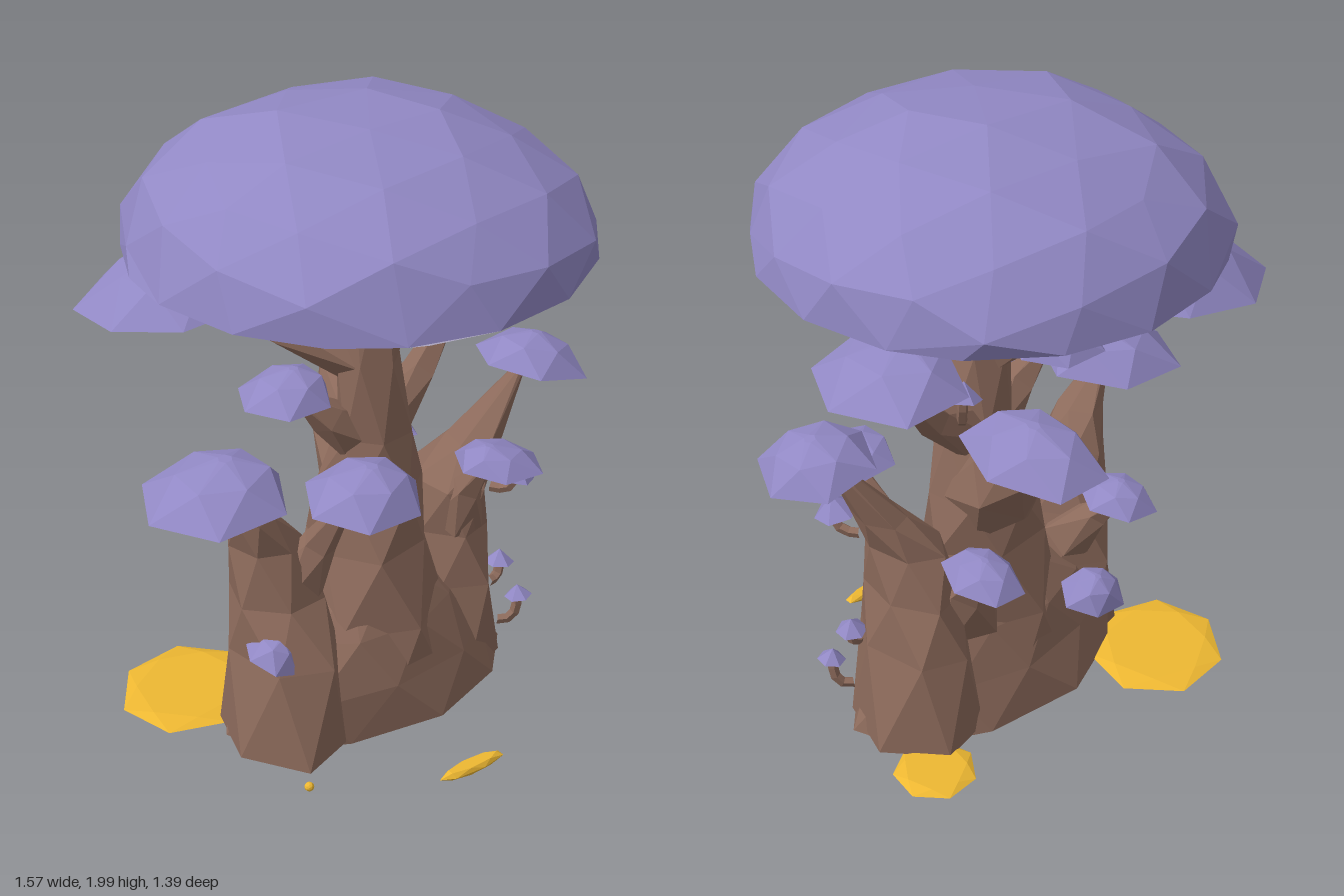
import * as THREE from 'three';

const material = (color) => new THREE.MeshStandardMaterial({ color, flatShading: true });

// Small seeded generator for the rough low-poly surfaces
function seeded(seed) {
  let s = seed * 7919 + 13;
  return () => {
    s = (s * 16807) % 2147483647;
    return s / 2147483647;
  };
}

// Closed loft through rings [x, y, z, rx, rz]; rings lie flat or square to the path.
// The first end face is group 0 and may be hollowed, the rest is group 1.
function loft(rings, { sides = 7, jitter = 0, seed = 1, phase = seed, upright = false, hollow = 0 } = {}) {
  const rand = seeded(seed);
  const centres = rings.map((r) => new THREE.Vector3(r[0], r[1], r[2]));
  const up = new THREE.Vector3(0, 1, 0);
  const last = rings.length - 1;
  const pos = [];
  rings.forEach((r, i) => {
    const dir = centres[Math.min(i + 1, last)].clone().sub(centres[Math.max(i - 1, 0)]).normalize();
    const turn = new THREE.Quaternion();
    if (!upright) turn.setFromUnitVectors(up, dir);
    for (let j = 0; j < sides; j++) {
      const a = ((j + (i % 2) * 0.5) / sides) * Math.PI * 2 + phase;
      const k = 1 + (rand() - 0.5) * 2 * jitter;
      const p = new THREE.Vector3(Math.cos(a) * r[3] * k, 0, Math.sin(a) * (r[4] ?? r[3]) * k);
      p.applyQuaternion(turn).add(centres[i]);
      pos.push(p.x, p.y, p.z);
    }
  });
  const first = pos.length / 3;
  pos.push(centres[0].x, centres[0].y + hollow, centres[0].z, ...centres[last].toArray());
  const under = [];
  const index = [];
  for (let j = 0; j < sides; j++) {
    const k = (j + 1) % sides;
    under.push(first, j, k);
    index.push(first + 1, last * sides + k, last * sides + j);
    for (let i = 0; i < last; i++) {
      const a = i * sides + j, b = i * sides + k, c = a + sides, d = b + sides;
      if (i % 2) index.push(a, d, b, a, c, d);
      else index.push(a, c, b, b, c, d);
    }
  }
  const g = new THREE.BufferGeometry();
  g.setAttribute('position', new THREE.Float32BufferAttribute(pos, 3));
  g.setIndex([...under, ...index]);
  g.addGroup(0, under.length, 0);
  g.addGroup(under.length, index.length, 1);
  g.computeVertexNormals();
  return g;
}

// Faceted dome from a flattened sphere, returned as [top, slightly hollow underside]
function dome() {
  const p = new THREE.IcosahedronGeometry(1, 2).rotateZ(0.3).rotateX(0.2).attributes.position;
  const parts = [[], []];
  for (let i = 0; i < p.count; i += 3) {
    const tri = [0, 1, 2].map((k) => new THREE.Vector3().fromBufferAttribute(p, i + k));
    const part = parts[tri.every((v) => v.y < 0.12) ? 1 : 0];
    tri.forEach((v) => {
      const r = Math.hypot(v.x, v.z);
      const rough = 1.015 + 0.025 * Math.sin(13 * v.x + 29 * v.y + 17 * v.z);
      if (v.y < -0.3) v.y = 0.25 * (1 - r * r);
      else if (v.y < 0.12) v.set(v.x / r, 0, v.z / r);
      else v.set(v.x * rough, Math.min(v.y * rough, 1), v.z * rough);
      part.push(v.x, v.y, v.z);
    });
  }
  return parts.map((part) => {
    const g = new THREE.BufferGeometry();
    g.setAttribute('position', new THREE.Float32BufferAttribute(part, 3));
    g.computeVertexNormals();
    return g;
  });
}

export function createModel() {
  const model = new THREE.Group();
  const bark = material(0x8c6a5b);
  const purple = material(0x9188c4);
  const gill = material(0xaaa4be);
  const gold = material(0xeeb832);
  const add = (name, geometry, mat) => {
    const mesh = new THREE.Mesh(geometry, mat);
    mesh.name = name;
    model.add(mesh);
    return mesh;
  };

  // Large crown cap and its pale underside
  dome().forEach((g, i) => {
    const crown = add(['crownCap', 'crownUnderside'][i], g, [purple, gill][i]);
    crown.position.y = 1.58;
    crown.scale.set(0.695, 0.42, 0.695);
  });

  // Root mass and the three trunks growing from it
  const trunks = {
    rootBase: [[0, 0.02, 0, 0.53, 0.28], [0.01, 0.18, 0, 0.47, 0.26],
      [0.01, 0.34, 0, 0.36, 0.21], [0.02, 0.47, 0, 0.17, 0.12]],
    mainTrunk: [[0.02, 0.03, 0, 0.28, 0.26], [0.02, 0.34, 0, 0.25, 0.23], [0.03, 0.58, 0, 0.2, 0.18],
      [0.05, 0.76, -0.02, 0.17, 0.16], [0.04, 0.96, 0.02, 0.125, 0.12],
      [0.01, 1.22, 0.03, 0.1, 0.1], [0.04, 1.56, 0.03, 0.095, 0.09], [0.04, 1.66, 0.03, 0.03, 0.03]],
    rightTrunk: [[-0.34, 0.03, 0.06, 0.19, 0.24], [-0.32, 0.34, 0.05, 0.16, 0.22],
      [-0.33, 0.52, 0.02, 0.14, 0.16], [-0.36, 0.7, 0.01, 0.11, 0.12],
      [-0.42, 0.82, 0.03, 0.07, 0.08], [-0.53, 0.96, 0.04, 0.02, 0.02]],
    leftTrunk: [[0.36, 0.03, -0.05, 0.19, 0.24], [0.35, 0.34, -0.05, 0.15, 0.22],
      [0.35, 0.52, -0.03, 0.12, 0.17], [0.35, 0.68, -0.01, 0.11, 0.15],
      [0.43, 0.8, 0.02, 0.07, 0.1], [0.58, 1.04, 0.07, 0.015, 0.015]],
  };
  Object.entries(trunks).forEach(([name, rings], i) => {
    add(name, loft(rings, { sides: i ? 6 : 10, jitter: 0.08, seed: i + 2, upright: true }), bark);
  });

  // Tapering branches [x, y, z, radius]
  const branches = [
    [[0, 1.21, 0.01, 0.09], [-0.2, 1.31, -0.13, 0.055], [-0.43, 1.44, -0.29, 0.015]],
    [[0.04, 0.92, 0, 0.1], [0.25, 1.07, -0.03, 0.055], [0.46, 1.31, -0.07, 0.012]],
    [[0.05, 0.74, -0.04, 0.16], [0.11, 0.87, -0.2, 0.12], [0.16, 1.01, -0.33, 0.07], [0.2, 1.13, -0.4, 0.02]],
    [[0, 0.93, 0, 0.09], [-0.12, 1.04, 0, 0.06], [-0.23, 1.14, -0.02, 0.012]],
    [[-0.29, 0.52, 0.05, 0.1], [-0.24, 0.7, 0.12, 0.055], [-0.19, 0.92, 0.24, 0.012]],
    [[0.34, 0.56, 0.05, 0.09], [0.33, 0.7, 0.12, 0.05], [0.34, 0.84, 0.22, 0.012]],
    [[0.2, 0.4, -0.1, 0.13], [0.26, 0.56, -0.2, 0.07], [0.3, 0.7, -0.31, 0.015]],
    [[-0.26, 0.44, -0.08, 0.09], [-0.3, 0.56, -0.18, 0.045], [-0.31, 0.64, -0.26, 0.012]],
  ];
  branches.forEach((b, i) => add('branch', loft(b, { sides: 5, seed: i + 1 }), bark));

  // Faceted caps: centre of the rim, rx, rz, height, tilt x, tilt z, sideways shift of the apex
  const caps = [
    [-0.42, 1.43, -0.31, 0.32, 0.28, 0.14, -0.06, 0.11, 0],
    [0.46, 1.31, -0.07, 0.22, 0.25, 0.12, 0, -0.04, -0.3],
    [0.22, 1.12, -0.42, 0.18, 0.24, 0.11, -0.06, -0.03, 0],
    [-0.25, 1.13, -0.03, 0.15, 0.15, 0.09, 0, 0, 0.2],
    [0.61, 1.03, 0.07, 0.18, 0.18, 0.1, 0, -0.22, 0],
    [-0.56, 0.93, 0.05, 0.23, 0.23, 0.12, 0, 0.04, 0.2],
    [-0.19, 0.91, 0.28, 0.19, 0.18, 0.11, 0.1, 0, 0.1],
    [0.34, 0.84, 0.25, 0.14, 0.14, 0.07, 0, -0.07, -0.3],
    [0.33, 0.7, -0.33, 0.11, 0.14, 0.07, -0.15, 0, 0],
    [-0.3, 0.65, -0.26, 0.12, 0.13, 0.07, -0.12, 0.1, 0],
    [-0.43, 0.37, 0.14, 0.09, 0.09, 0.08, 0.2, -0.35, 0],
    [-0.15, 0.39, -0.31, 0.11, 0.1, 0.08, -0.3, 0, 0],
  ];
  caps.forEach(([x, y, z, rx, rz, h, tx, tz, shift], i) => {
    const g = loft([[0, 0, 0, 1], [shift * 0.6, 0.72, 0, 0.6], [shift, 1, 0, 0.1]],
      { sides: i ? 6 : 8, jitter: 0.05, seed: i + 1, phase: i ? 0 : 0.5, upright: true, hollow: 0.3 });
    const cap = add('shelfCap', g, [gill, purple]);
    cap.position.set(x, y, z);
    cap.scale.set(rx, h, rz);
    cap.rotation.set(tx, 0, tz);
  });

  // Little mushrooms on curved stems: root, then cap position and radius
  const sprouts = [
    [[0.42, 0.67, 0.12], [0.46, 0.74, 0.19], 0.07],
    [[0.44, 0.3, 0.1], [0.49, 0.36, 0.09], 0.05],
    [[0.48, 0.14, 0.1], [0.53, 0.24, 0.14], 0.045],
    [[0.16, 1.07, -0.06], [0.23, 1.2, -0.14], 0.06],
  ];
  sprouts.forEach(([root, top, r], i) => {
    const a = new THREE.Vector3(...root);
    const b = new THREE.Vector3(...top);
    const bend = new THREE.Vector3(b.x + 0.01, a.y - 0.01, b.z);
    const stem = new THREE.QuadraticBezierCurve3(a, bend, b);
    add('sproutStem', new THREE.TubeGeometry(stem, 4, 0.017, 5), bark);
    const cap = add('sproutCap', new THREE.ConeGeometry(r, r * 0.9, 6), purple);
    cap.position.copy(b).y += r * 0.3;
    cap.rotation.set(0.1, i, -0.2);
  });

  // Flat golden patches on the ground (x, z, rx, rz, turn) and one bead
  const patches = [
    [-0.45, -0.31, 0.25, 0.22, 0.75], [0.48, -0.28, 0.14, 0.13, 0.75], [0.02, 0.55, 0.125, 0.03, 0]];
  patches.forEach(([x, z, rx, rz, turn]) => {
    const g = loft([[0, 0.01, 0, 0.75], [0, 0.022, 0, 1], [0, 0.036, 0, 0.75]], { upright: true, phase: 0 });
    const patch = add('goldPatch', g, [gold, gold]);
    patch.position.set(x, 0, z);
    patch.scale.set(rx, 1, rz);
    patch.rotation.y = turn;
  });
  add('goldBead', new THREE.IcosahedronGeometry(0.015, 1), gold).position.set(-0.44, 0.022, 0.34);

  return model;
}
